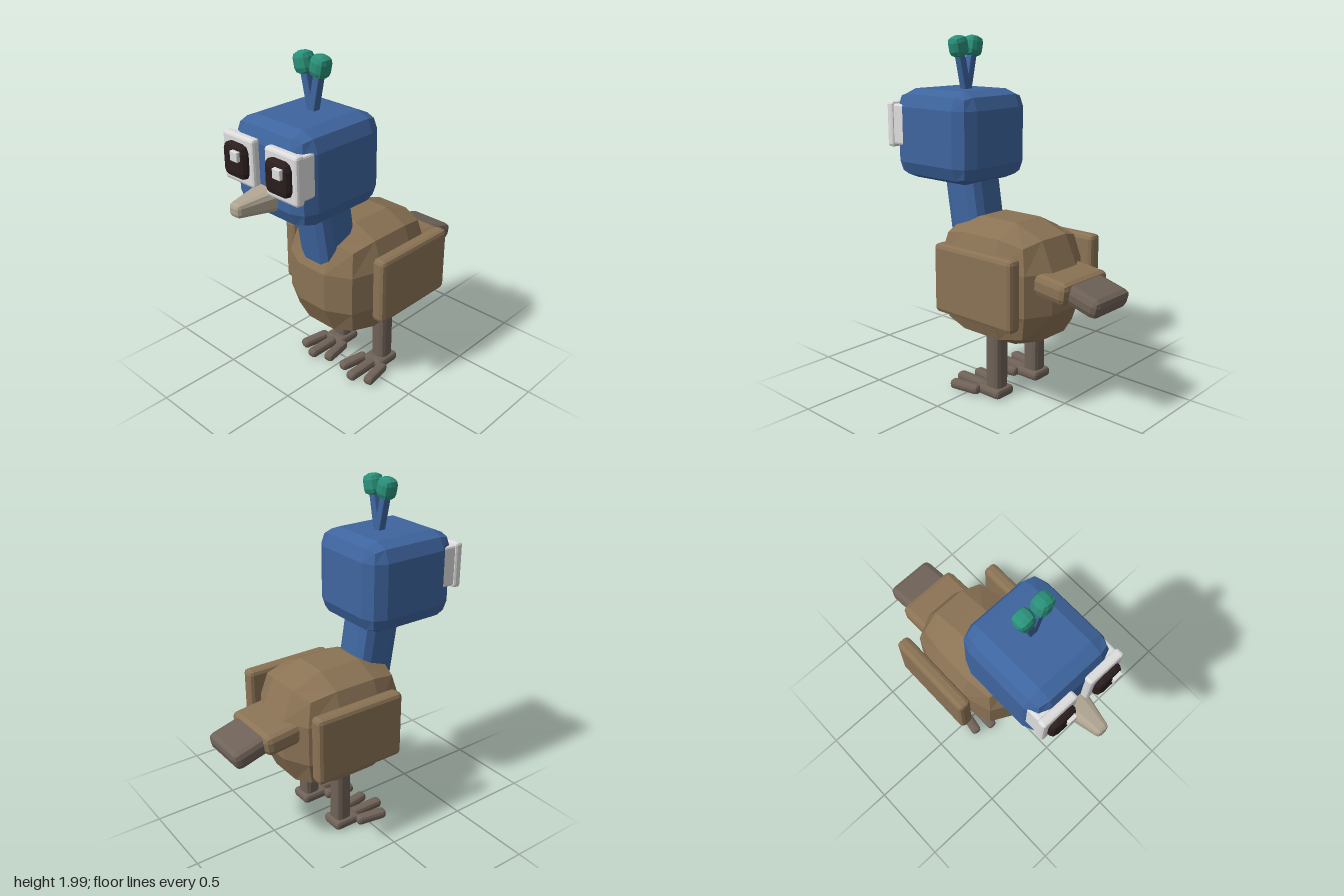
import * as THREE from 'three';

const paint = (name, color) => {
  const m = new THREE.MeshStandardMaterial({ color, flatShading: true });
  m.name = name;
  return m;
};

// Box with rounded edges in three facets; bevel is a number or one value per axis
function softBox(size, bevel) {
  const geo = new THREE.BoxGeometry(1, 1, 1, 3, 3, 3);
  const half = size.map((s) => s / 2);
  const b = half.map((h, i) => Math.min(Array.isArray(bevel) ? bevel[i] : bevel, h * 0.9));
  const pull = [0, 0, 0.293, 0.42];
  const pos = geo.attributes.position;
  for (let i = 0; i < pos.count; i++) {
    const p = [pos.getX(i), pos.getY(i), pos.getZ(i)];
    const outer = p.map((v) => Math.abs(v) > 0.49);
    const n = outer.filter(Boolean).length;
    const q = p.map((v, k) => Math.sign(v) * (half[k] - b[k] * (outer[k] ? pull[n] : 1)));
    pos.setXYZ(i, ...q);
  }
  geo.computeVertexNormals();
  return geo;
}

// Moves every vertex by a rule
function warp(geo, rule) {
  const pos = geo.attributes.position;
  const v = new THREE.Vector3();
  for (let i = 0; i < pos.count; i++) {
    rule(v.fromBufferAttribute(pos, i));
    pos.setXYZ(i, v.x, v.y, v.z);
  }
  geo.computeVertexNormals();
  return geo;
}

export function createModel() {
  const model = new THREE.Group();
  model.name = 'bird';
  const brown = paint('brown feathers', 0x8b7355);
  const blue = paint('blue feathers', 0x3e659f);
  const grey = paint('grey brown', 0x6f6258);
  const horn = paint('beak horn', 0xb0a592);
  const white = paint('eye white', 0xdedede);
  const dark = paint('pupil dark', 0x2b1e1e);
  const teal = paint('crest teal', 0x2a917a);

  const add = (name, geo, mat, position, rotation = [0, 0, 0], parent = model) => {
    const mesh = new THREE.Mesh(geo, mat);
    mesh.name = name;
    mesh.position.set(...position);
    mesh.rotation.set(...rotation);
    parent.add(mesh);
    return mesh;
  };

  // Body, neck leaning forward, head
  add('body', softBox([0.61, 0.7, 0.77], [0.203, 0.233, 0.257]), brown, [0, 0.663, -0.095]);
  const neck = warp(softBox([0.25, 0.52, 0.255], [0.065, 0.02, 0.065]), (v) => { v.z += v.y * 0.16; });
  add('neck', neck, blue, [0, 1.04, 0.178]);
  add('head', softBox([0.54, 0.515, 0.585], 0.1), blue, [0, 1.445, 0.29]);

  // Beak narrowing to the front
  const beak = warp(softBox([0.19, 0.14, 0.28], [0.05, 0.04, 0.02]), (v) => {
    const t = (v.z + 0.14) / 0.28;
    v.x *= 1 - 0.63 * t;
    v.y *= 1 - 0.5 * t;
  });
  add('beak', beak, horn, [0, 1.323, 0.66]);

  // Tail in two pieces
  add('tailBase', softBox([0.39, 0.12, 0.36], 0.035), brown, [0, 0.725, -0.45], [-0.12, 0, 0]);
  add('tailTip', softBox([0.31, 0.105, 0.27], 0.035), grey, [0, 0.685, -0.668], [-0.27, 0, 0]);

  for (const s of [1, -1]) {
    const side = s > 0 ? 'left' : 'right';

    // Wing
    add(side + 'Wing', softBox([0.085, 0.395, 0.56], 0.025), brown, [s * 0.348, 0.698, -0.155]);

    // Eye
    add(side + 'EyeSocket', softBox([0.212, 0.235, 0.15], 0.012), white, [s * 0.157, 1.497, 0.525]);
    add(side + 'EyeFrame', softBox([0.23, 0.262, 0.052], 0.015), white, [s * 0.157, 1.496, 0.598]);
    add(side + 'Pupil', softBox([0.166, 0.187, 0.09], [0.04, 0.04, 0.025]), dark, [s * 0.156, 1.497, 0.618]);
    add(side + 'EyeGlint', softBox([0.054, 0.054, 0.04], 0.004), white, [s * 0.156 + 0.03, 1.537, 0.66]);

    // Crest stalk and knob
    add(side + 'CrestStalk', softBox([0.045, 0.28, 0.045], 0.006), blue, [s * 0.022, 1.785, 0.247], [0, 0, -s * 0.22]);
    add(side + 'CrestKnob', softBox([0.1, 0.118, 0.095], 0.034), teal, [s * 0.058, 1.939, 0.247], [0, 0, -s * 0.22]);

    // Leg and foot with three toes
    add(side + 'Leg', softBox([0.1, 0.4, 0.1], [0.03, 0.01, 0.03]), grey, [s * 0.165, 0.225, -0.14]);
    const foot = new THREE.Group();
    foot.name = side + 'Foot';
    foot.position.set(s * 0.165, 0.034, 0);
    model.add(foot);
    add('footPad', softBox([0.14, 0.056, 0.17], 0.02), grey, [0, 0, -0.125], [0, 0, 0], foot);
    for (const t of [-1, 0, 1]) {
      const length = t ? 0.19 : 0.22;
      add('toe', softBox([0.062, 0.054, length], 0.02), grey, [t * 0.09, 0, t ? 0.02 : 0.045], [0, t * 0.17, 0], foot);
    }
  }
  return model;
}
